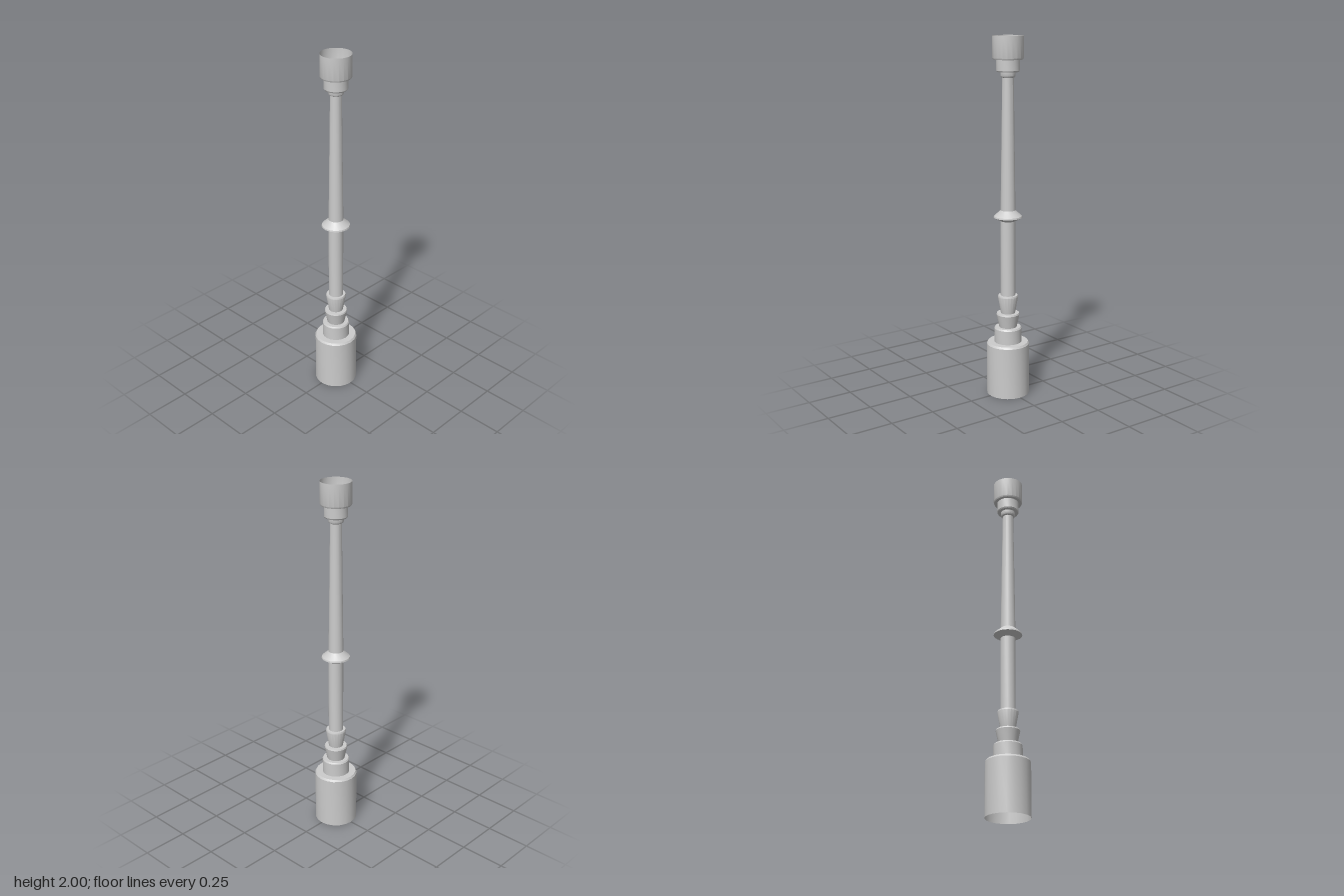
import * as THREE from 'three';
import { toCreasedNormals } from 'three/addons/utils/BufferGeometryUtils.js';

// Each part is a thin turned shell: [radius, height] from bottom to top
const PARTS = {
  base: [[0.12, 0], [0.12, 0.293], [0.113, 0.304], [0.077, 0.304]],
  baseCollar: [[0.077, 0.304], [0.077, 0.383], [0.072, 0.391], [0.05, 0.391]],
  lowerFlare: [[0.05, 0.391], [0.065, 0.464], [0.062, 0.472], [0.04, 0.472]],
  upperFlare: [[0.04, 0.472], [0.057, 0.567], [0.054, 0.576], [0.041, 0.576]],
  lowerStem: [[0.041, 0.576], [0.041, 1.0]],
  ringFlange: [[0.041, 1.0], [0.079, 1.02], [0.077, 1.028], [0.045, 1.056], [0.041, 1.06]],
  upperStem: [[0.041, 1.06], [0.031, 1.78]],
  neckRing: [[0.031, 1.78], [0.038, 1.784], [0.041, 1.79], [0.041, 1.81]],
  neckCollar: [[0.041, 1.81], [0.059, 1.81], [0.063, 1.817], [0.063, 1.875]],
  topCup: [[0.063, 1.875], [0.08, 1.875], [0.084, 1.883], [0.084, 2.0]],
};

export function createModel() {
  const group = new THREE.Group();
  const material = new THREE.MeshStandardMaterial({ color: 0xcccccc, side: THREE.DoubleSide });
  for (const [name, profile] of Object.entries(PARTS)) {
    const points = profile.map(([r, y]) => new THREE.Vector2(r, y));
    const geometry = toCreasedNormals(new THREE.LatheGeometry(points, 20), 0.5);
    const mesh = new THREE.Mesh(geometry, material);
    mesh.name = name;
    group.add(mesh);
  }
  return group;
}
